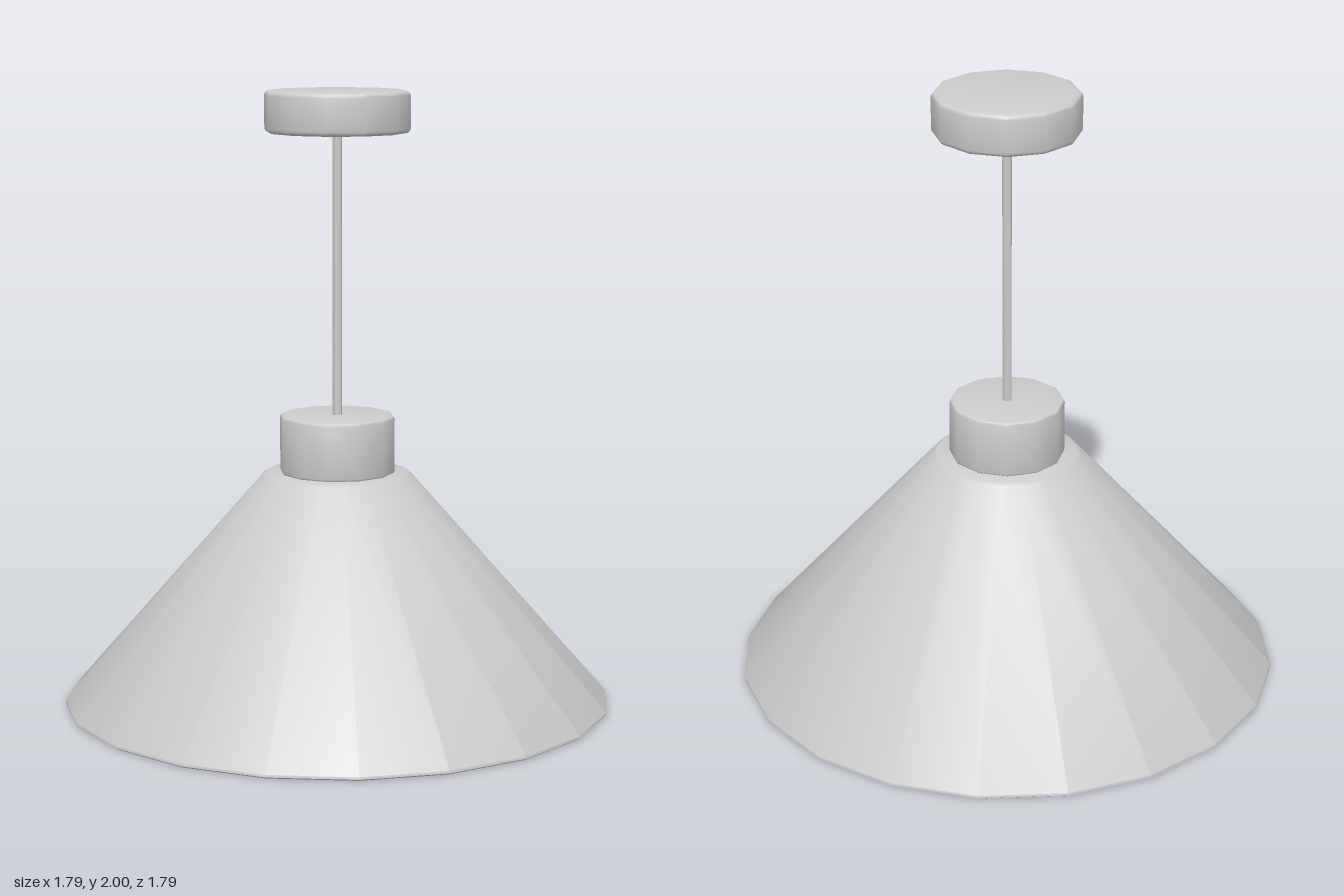
import * as THREE from 'three';
import { toCreasedNormals } from 'three/addons/utils/BufferGeometryUtils.js';

const grey = new THREE.MeshStandardMaterial({ color: 0xcccccc });
grey.name = 'light grey';

// Solid of revolution with smooth sides and crisp caps
function turned(name, profile, sides) {
  const points = profile.map(([r, y]) => new THREE.Vector2(r, y));
  const geometry = toCreasedNormals(new THREE.LatheGeometry(points, sides), 0.65);
  const mesh = new THREE.Mesh(geometry, grey);
  mesh.name = name;
  return mesh;
}

// Closed drum profile with small rounded rims
function drum(radius, bottom, top, bevel) {
  const profile = [[0, bottom]];
  const steps = 3;
  for (const [centreY, start] of [[bottom + bevel, -Math.PI / 2], [top - bevel, 0]]) {
    for (let i = 0; i <= steps; i++) {
      const a = start + (i / steps) * Math.PI / 2;
      profile.push([radius - bevel + bevel * Math.cos(a), centreY + bevel * Math.sin(a)]);
    }
  }
  profile.push([0, top]);
  return profile;
}

export function createModel() {
  const lamp = new THREE.Group();
  lamp.name = 'pendantLamp';

  // Conical shade, closed underneath, with a thin lip at the rim
  lamp.add(turned('shade', [
    [0, 0], [0.887, 0], [0.894, 0.005], [0.893, 0.013],
    [0.242, 0.758], [0.23, 0.765], [0, 0.765],
  ], 20));

  // Socket cover, hanging rod and ceiling canopy
  lamp.add(turned('socketCover', drum(0.188, 0.762, 0.953, 0.01), 12));
  lamp.add(turned('rod', [[0.015, 0.94], [0.015, 1.88]], 12));
  lamp.add(turned('ceilingCanopy', drum(0.236, 1.865, 2, 0.016), 12));

  return lamp;
}
